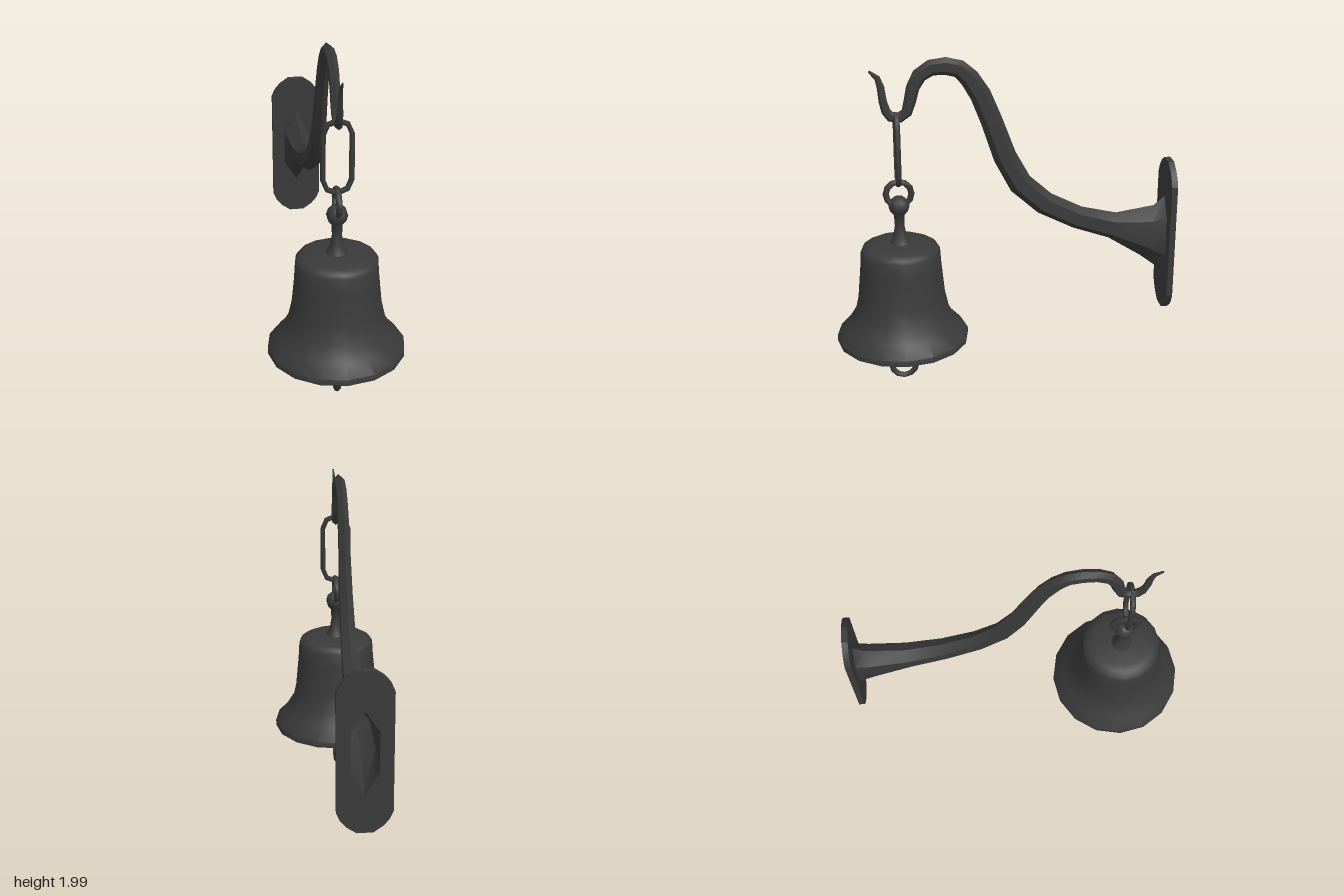
import * as THREE from 'three';
import { toCreasedNormals } from 'three/addons/utils/BufferGeometryUtils.js';

const BELL_Z = 0.61;
const iron = new THREE.MeshStandardMaterial({ color: 0x3a3a3a, side: THREE.DoubleSide });

function part(name, geometry, crease = 0.7) {
  const mesh = new THREE.Mesh(toCreasedNormals(geometry, crease), iron);
  mesh.name = name;
  return mesh;
}

function lathe(name, profile, sides, crease) {
  return part(name, new THREE.LatheGeometry(profile.map(([r, y]) => new THREE.Vector2(r, y)), sides), crease);
}

// Round ring standing in the side plane
function ring(name, y) {
  const mesh = part(name, new THREE.TorusGeometry(0.074, 0.018, 6, 12), 1.2);
  mesh.rotation.y = Math.PI / 2;
  mesh.position.y = y;
  return mesh;
}

// Six-sided arm: stations are [z, y, half height, half width]
function armGeometry(stations) {
  const SIDES = 6;
  const rings = stations.map(([z, y, h, w], i) => {
    const a = stations[Math.max(i - 1, 0)];
    const b = stations[Math.min(i + 1, stations.length - 1)];
    const t = i === 0 ? new THREE.Vector2(1, 0) : new THREE.Vector2(b[0] - a[0], b[1] - a[1]).normalize();
    return Array.from({ length: SIDES }, (_, j) => {
      const angle = (j / SIDES) * Math.PI * 2;
      const up = h * Math.cos(angle);
      return [(w * Math.sin(angle)) / 0.866, y + t.x * up, z - t.y * up];
    });
  });
  const positions = [];
  for (let i = 0; i < rings.length - 1; i++) {
    for (let j = 0; j < SIDES; j++) {
      const k = (j + 1) % SIDES;
      const [a, b, c, d] = [rings[i][j], rings[i + 1][j], rings[i + 1][k], rings[i][k]];
      positions.push(...a, ...b, ...c, ...a, ...c, ...d);
    }
  }
  const geometry = new THREE.BufferGeometry();
  geometry.setAttribute('position', new THREE.Float32BufferAttribute(positions, 3));
  return geometry;
}

// Wall plate with chamfered ends and a hole that opens into the hollow arm
function plateGeometry() {
  const corner = [[0.153, 0.345], [0.133, 0.39], [0.1, 0.43], [0.045, 0.468]];
  const mirrored = corner.map(([x, y]) => [-x, y]).reverse();
  const top = [...corner, ...mirrored];
  const outline = [...top, ...top.map(([x, y]) => [-x, -y])];
  const shape = new THREE.Shape(outline.map(([x, y]) => new THREE.Vector2(x, y)));
  const hole = [];
  for (let j = 0; j < 6; j++) {
    const a = (j / 6) * Math.PI * 2;
    hole.push(new THREE.Vector2((0.077 * Math.sin(a)) / 0.866, 0.24 * Math.cos(a)));
  }
  shape.holes.push(new THREE.Path(hole));
  return new THREE.ExtrudeGeometry(shape, { depth: 0.035, bevelEnabled: false });
}

// Long chain link: two straight sides joined by half circles
class LinkCurve extends THREE.Curve {
  getPoint(t, target = new THREE.Vector3()) {
    const STEPS = 5, R = 0.078, HALF = 0.131;
    const points = [];
    for (let end = 0; end < 2; end++) {
      for (let i = 0; i < STEPS; i++) {
        const a = end * Math.PI + (i / (STEPS - 1)) * Math.PI;
        points.push([R * Math.cos(a), R * Math.sin(a) + (end ? -HALF : HALF)]);
      }
    }
    const [x, y] = points[Math.round(t * points.length) % points.length];
    return target.set(x, y, 0);
  }
  getPointAt(t, target) { return this.getPoint(t, target); }
  getTangentAt(t, target = new THREE.Vector3()) {
    const d = 0.1;
    const next = this.getPoint((t + d) % 1);
    return target.copy(next).sub(this.getPoint((t - d + 1) % 1)).normalize();
  }
}

export function createModel() {
  const model = new THREE.Group();
  model.name = 'hangingBell';

  // Wall bracket
  const bracket = new THREE.Group();
  bracket.name = 'bracket';
  const plate = part('wallPlate', plateGeometry(), 0.4);
  plate.position.set(0, 0.865, -1);
  bracket.add(plate);
  bracket.add(part('hookedArm', armGeometry([
    [-0.966, 0.865, 0.24, 0.077], [-0.865, 0.89, 0.163, 0.073], [-0.652, 0.936, 0.082, 0.062],
    [-0.438, 1.0, 0.07, 0.053], [-0.242, 1.1, 0.07, 0.046], [-0.098, 1.23, 0.07, 0.04],
    [-0.007, 1.4, 0.067, 0.036], [0.07, 1.62, 0.062, 0.032], [0.132, 1.775, 0.06, 0.03],
    [0.194, 1.875, 0.056, 0.029], [0.252, 1.93, 0.052, 0.028], [0.33, 1.949, 0.051, 0.028],
    [0.41, 1.942, 0.047, 0.027], [0.475, 1.9, 0.043, 0.026], [0.513, 1.83, 0.038, 0.025],
    [0.53, 1.754, 0.035, 0.024], [0.55, 1.69, 0.032, 0.022], [0.59, 1.662, 0.032, 0.021],
    [0.64, 1.668, 0.03, 0.019], [0.665, 1.7, 0.026, 0.017], [0.681, 1.76, 0.023, 0.014],
    [0.69, 1.84, 0.021, 0.011], [0.707, 1.895, 0.017, 0.008], [0.752, 1.934, 0.007, 0.004],
  ])));
  model.add(bracket);

  // Everything that hangs from the hook
  const hanging = new THREE.Group();
  hanging.name = 'hangingParts';
  hanging.position.z = BELL_Z;
  model.add(hanging);

  const link = part('longLink', new THREE.TubeGeometry(new LinkCurve(), 10, 0.016, 6, true), 1.2);
  link.position.y = 1.47;
  hanging.add(link, ring('upperRing', 1.205));

  // Neck and ball above the bell
  hanging.add(lathe('neck', [
    [0.065, 0.895], [0.052, 0.92], [0.037, 0.955], [0.028, 1.01], [0.031, 1.075],
    [0.052, 1.1], [0.061, 1.13], [0.05, 1.165], [0.028, 1.185], [0, 1.19],
  ], 10, 1));

  // Bell shell, from the inside of the crown over the rim to the top
  hanging.add(lathe('bell', [
    [0, 0.87], [0.15, 0.87], [0.205, 0.84], [0.215, 0.76], [0.232, 0.575], [0.253, 0.475],
    [0.305, 0.39], [0.365, 0.325], [0.37, 0.29], [0.39, 0.29], [0.39, 0.325], [0.33, 0.39],
    [0.278, 0.475], [0.256, 0.575], [0.238, 0.76], [0.232, 0.855], [0.222, 0.875],
    [0.19, 0.892], [0.15, 0.902], [0, 0.905],
  ], 16, 0.75));

  // Clapper and its pull ring
  hanging.add(lathe('clapper', [
    [0, 0.145], [0.03, 0.15], [0.05, 0.175], [0.055, 0.21], [0.045, 0.25],
    [0.03, 0.285], [0.02, 0.33], [0.018, 0.88],
  ], 10, 1));
  hanging.add(ring('pullRing', 0.1));

  return model;
}
